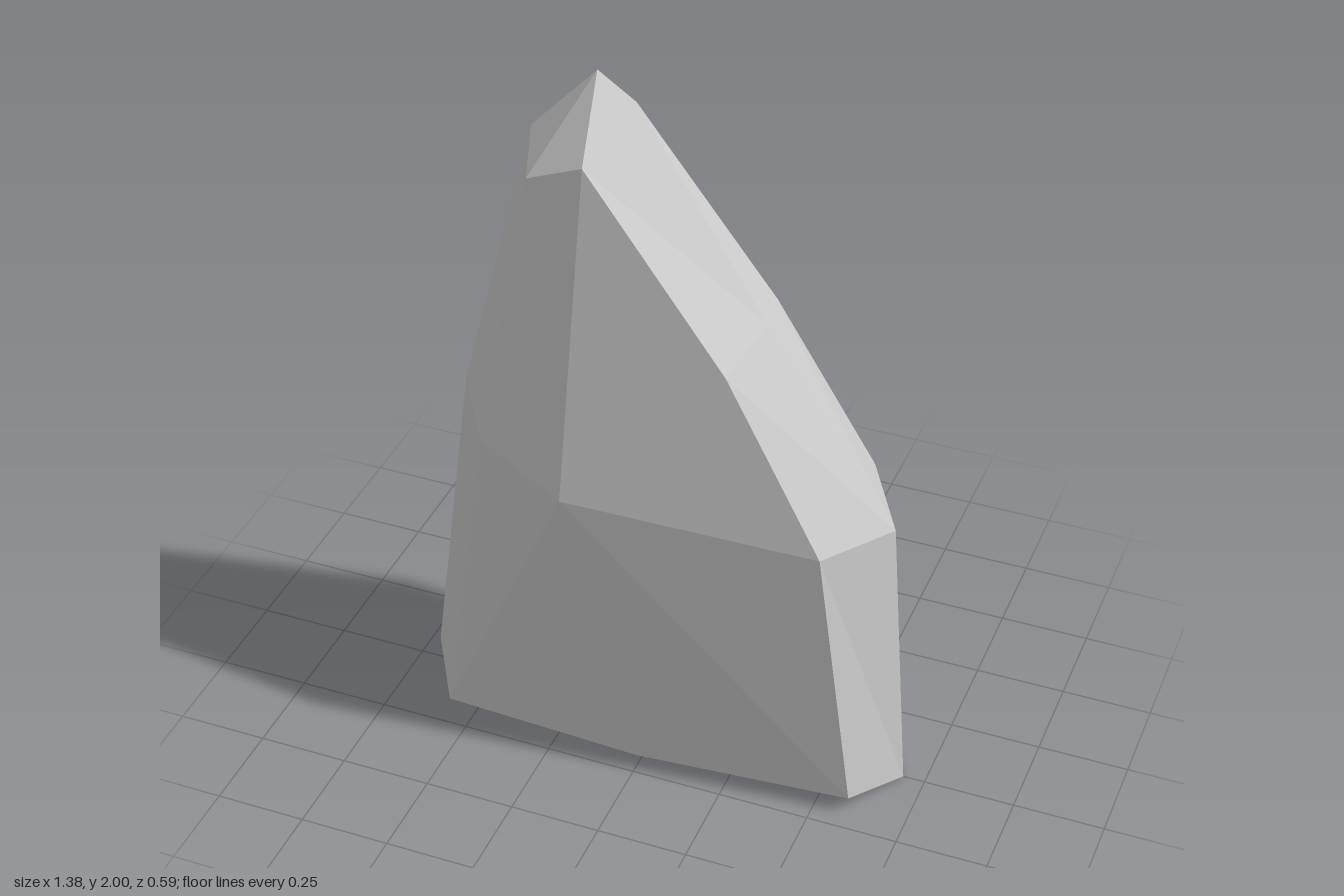
import * as THREE from 'three';

// Rim in the mid plane (x, y), counter-clockwise from the lower right corner
const rim = [
  [-0.69, 0.07], [0, 0.035], [0.69, 0], [0.63, 0.825],
  [0.27, 1.37], [-0.18, 2], [-0.36, 1.81], [-0.57, 1],
].map(([x, y]) => [x, y, 0]);

// Edge of the broad face (x, y, z), point for point with the rim
const face = [
  [-0.575, 0.03, 0.19], [0, 0.038, 0.225], [0.595, 0.05, 0.19], [0.5, 0.85, 0.222],
  [0.23, 1.32, 0.19], [-0.15, 1.825, 0.175], [-0.31, 1.75, 0.15], [-0.43, 0.98, 0.222],
];

// Highest point of the broad face
const crown = [-0.18, 0.9, 0.293];

// One half of the stone: bevel band from rim to face, then a fan to the crown
function halfGeometry(side) {
  const positions = [];
  const triangle = (a, b, c) => {
    const corners = side > 0 ? [a, b, c] : [a, c, b];
    corners.forEach(([x, y, z]) => positions.push(x, y, z * side));
  };
  rim.forEach((r0, i) => {
    const j = (i + 1) % rim.length;
    triangle(r0, rim[j], face[j]);
    triangle(r0, face[j], face[i]);
    triangle(face[i], face[j], crown);
  });
  const geometry = new THREE.BufferGeometry();
  geometry.setAttribute('position', new THREE.Float32BufferAttribute(positions, 3));
  geometry.computeVertexNormals();
  return geometry;
}

export function createModel() {
  const group = new THREE.Group();
  group.name = 'standingStone';
  const material = new THREE.MeshStandardMaterial({ color: 0xcccccc, flatShading: true });
  for (const [name, side] of [['frontHalf', 1], ['backHalf', -1]]) {
    const mesh = new THREE.Mesh(halfGeometry(side), material);
    mesh.name = name;
    group.add(mesh);
  }
  return group;
}
